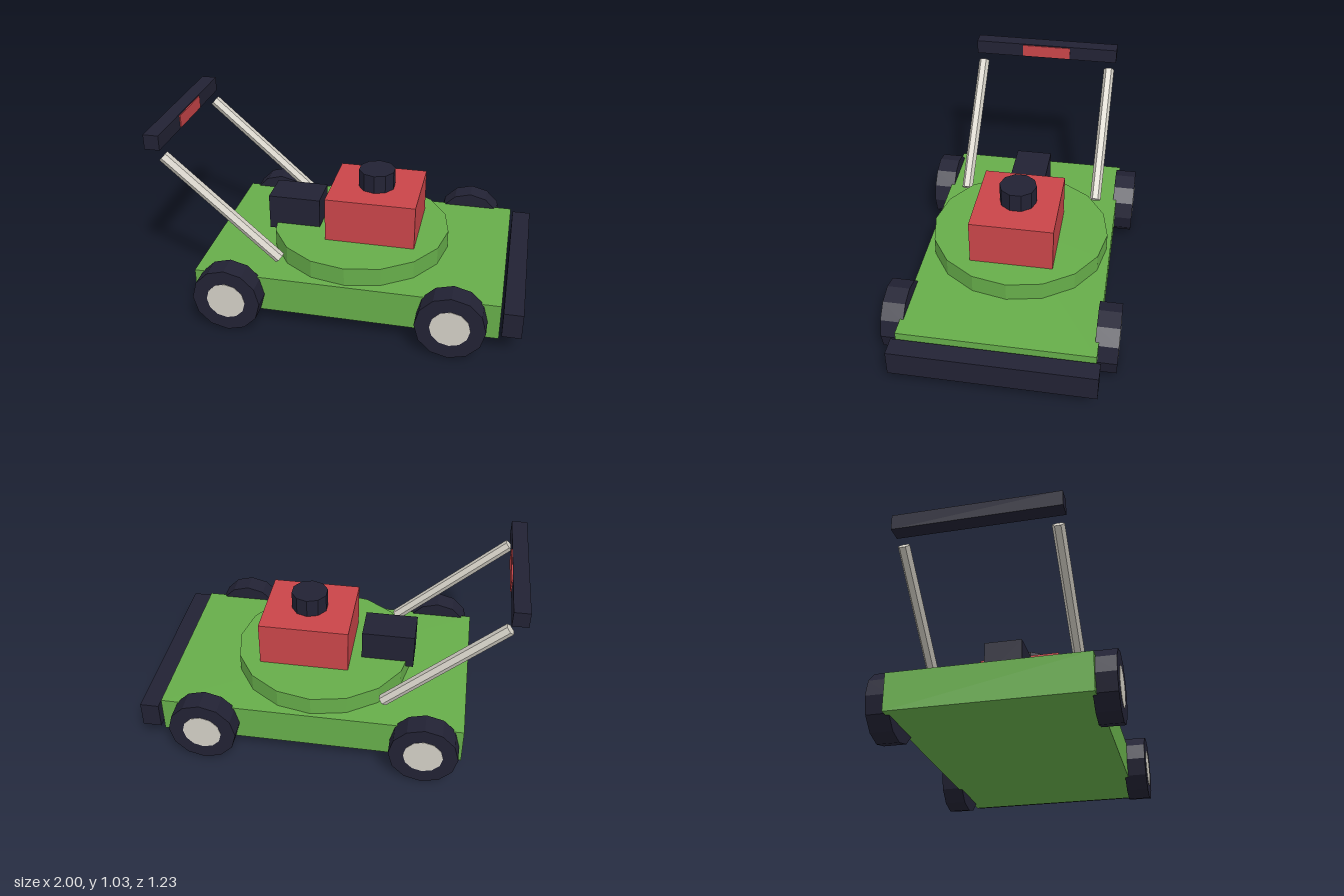
import * as THREE from 'three';

const mat = (name, color) => {
  const m = new THREE.MeshStandardMaterial({ color, flatShading: true });
  m.name = name;
  return m;
};

export function createModel() {
  const green = mat('deck green', 0x66ad4a);
  const red = mat('engine red', 0xc94549);
  const dark = mat('dark navy', 0x222234);
  const metal = mat('pale metal', 0xd3cfc5);

  const model = new THREE.Group();
  model.name = 'lawnMower';

  const add = (name, geometry, material, x, y, z) => {
    const mesh = new THREE.Mesh(geometry, material);
    mesh.name = name;
    mesh.position.set(x, y, z);
    model.add(mesh);
    return mesh;
  };
  // Box given by its min and max on x and y, and its half depth on z
  const box = (name, material, x0, x1, y0, y1, halfZ) =>
    add(name, new THREE.BoxGeometry(x1 - x0, y1 - y0, halfZ * 2), material,
      (x0 + x1) / 2, (y0 + y1) / 2, 0);

  // Deck, round blade housing and front bumper
  box('deck', green, -0.755, 0.885, 0.085, 0.288, 0.512);
  add('bladeHousing', new THREE.CylinderGeometry(0.491, 0.491, 0.105, 16), green, 0.063, 0.3375, 0);
  box('bumper', dark, 0.898, 1, 0.118, 0.26, 0.533);

  // Engine, its cap and the rear chute
  box('engine', red, -0.1, 0.392, 0.388, 0.638, 0.225);
  add('engineCap', new THREE.CylinderGeometry(0.101, 0.101, 0.104, 10), dark, 0.146, 0.688, 0);
  box('chute', dark, -0.45, -0.16, 0.355, 0.556, 0.1);

  // Wheels with hubs showing on the outside
  const tyre = new THREE.CylinderGeometry(0.184, 0.184, 0.12, 12).rotateX(Math.PI / 2);
  const hub = new THREE.CylinderGeometry(0.105, 0.105, 0.008, 12).rotateX(Math.PI / 2);
  for (const side of [1, -1]) {
    for (const x of [-0.553, 0.637]) {
      add('tyre', tyre, dark, x, 0.184, side * 0.554);
      add('hub', hub, metal, x, 0.184, side * 0.612);
    }
  }

  // Sloping handle rods
  const low = new THREE.Vector3(-0.311, 0.347, 0);
  const high = new THREE.Vector3(-0.918, 0.897, 0);
  const slope = high.clone().sub(low);
  const rod = new THREE.CylinderGeometry(0.0315, 0.0315, slope.length(), 6);
  for (const side of [1, -1]) {
    const mesh = add('handleRod', rod, metal, (low.x + high.x) / 2, (low.y + high.y) / 2, side * 0.39);
    mesh.rotation.z = Math.atan2(-slope.x, slope.y);
  }

  // Handlebar with a coloured plate on its forward face
  box('handlebar', dark, -1, -0.917, 0.945, 1.027, 0.43);
  box('handlebarPlate', red, -0.919, -0.911, 0.951, 1.021, 0.145);

  return model;
}
